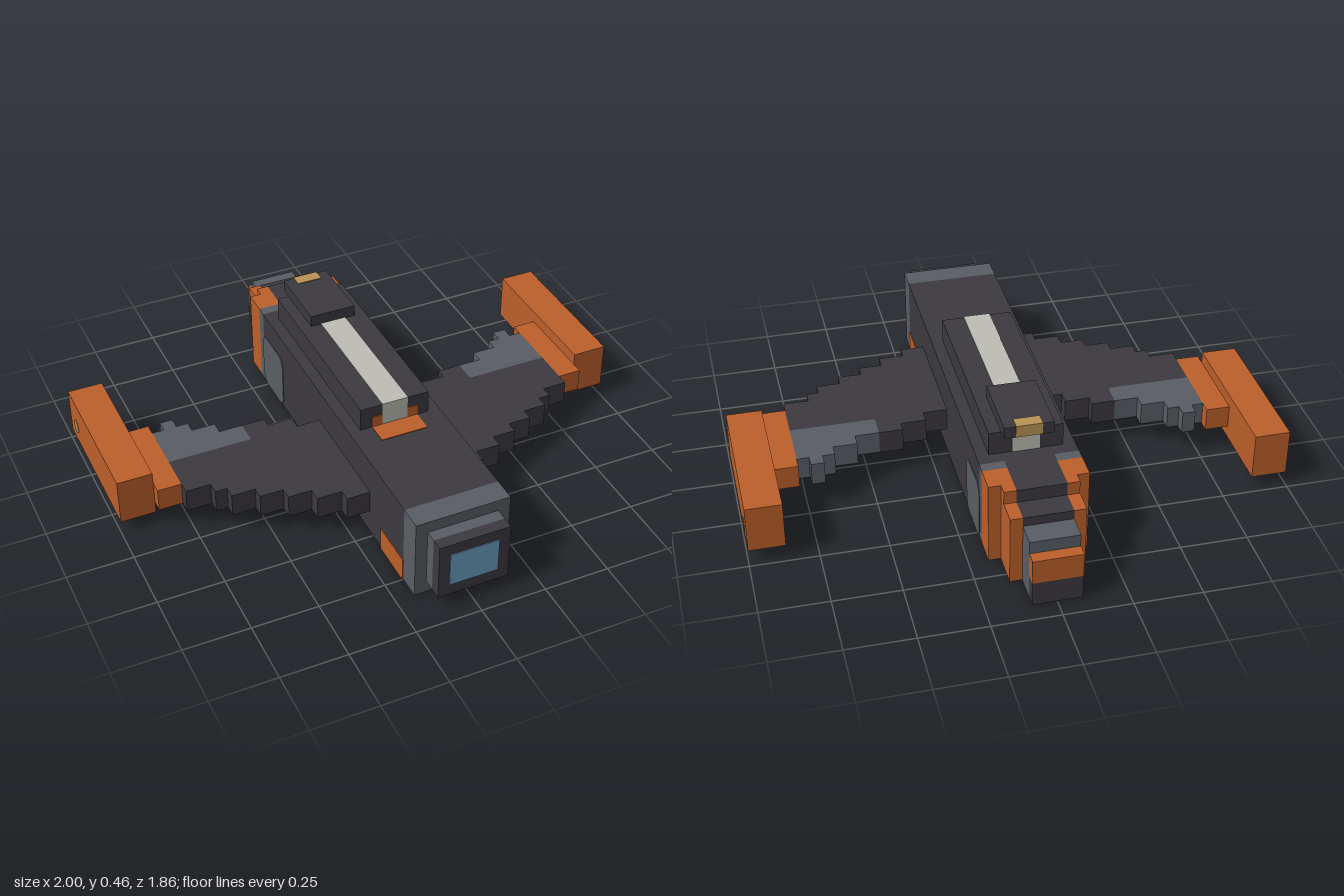
import * as THREE from 'three';

const mat = (name, color) => {
  const m = new THREE.MeshStandardMaterial({ color });
  m.name = name;
  return m;
};

export function createModel() {
  const dark = mat('charcoal', 0x3c3a40);
  const grey = mat('steel grey', 0x5a5e64);
  const orange = mat('burnt orange', 0xbd5f2b);
  const pale = mat('pale grey', 0xbebeb6);
  const gold = mat('gold', 0xbb9356);
  const blue = mat('window blue', 0x6c9fc2);

  const model = new THREE.Group();
  model.name = 'spacecraft';
  const T = 0.003; // how far painted plates stand out

  // Box from its min and max on each axis
  function box(name, m, x0, x1, y0, y1, z0, z1, parent = model) {
    const mesh = new THREE.Mesh(new THREE.BoxGeometry(x1 - x0, y1 - y0, z1 - z0), m);
    mesh.position.set((x0 + x1) / 2, (y0 + y1) / 2, (z0 + z1) / 2);
    mesh.name = name;
    parent.add(mesh);
    return mesh;
  }
  // Box centred on x = 0
  const mid = (name, m, w, y0, y1, z0, z1) => box(name, m, -w, w, y0, y1, z0, z1);
  // Pair of boxes mirrored across x = 0
  function pair(name, m, x0, x1, y0, y1, z0, z1) {
    box(name + 'Left', m, x0, x1, y0, y1, z0, z1);
    box(name + 'Right', m, -x1, -x0, y0, y1, z0, z1);
  }

  // Thin plate with rounded corners, lying in its local xy plane
  function roundPlate(name, w, h, r) {
    const s = new THREE.Shape();
    s.absarc(w / 2 - r, h / 2 - r, r, 0, Math.PI / 2);
    s.absarc(-w / 2 + r, h / 2 - r, r, Math.PI / 2, Math.PI);
    s.absarc(-w / 2 + r, -h / 2 + r, r, Math.PI, Math.PI * 1.5);
    s.absarc(w / 2 - r, -h / 2 + r, r, Math.PI * 1.5, Math.PI * 2);
    const mesh = new THREE.Mesh(
      new THREE.ExtrudeGeometry(s, { depth: T, bevelEnabled: false, curveSegments: 4 }), grey);
    mesh.name = name;
    model.add(mesh);
    return mesh;
  }

  // Fuselage
  mid('fuselage', dark, 0.18, 0, 0.32, -0.53, 0.75);
  mid('frontCollar', grey, 0.18, 0, 0.32, 0.75, 0.84);
  mid('noseBase', grey, 0.135, 0.05, 0.275, 0.84, 0.885);
  mid('noseFrame', dark, 0.135, 0.05, 0.275, 0.885, 0.93);
  mid('noseWindow', blue, 0.093, 0.095, 0.232, 0.926, 0.93 + T);

  // Painted panels on the fuselage
  pair('frontSidePanel', orange, 0.09, 0.18 + T, -T, 0.09, 0.57, 0.75);
  mid('frontBellyPanel', grey, 0.09, -T, 0.01, 0.57, 0.75);
  const belly = roundPlate('bellyPanel', 0.22, 0.24, 0.06);
  belly.rotation.x = Math.PI / 2;
  belly.position.set(0, 0, 0.2);
  for (const s of [1, -1]) {
    const p = roundPlate('rearSidePanel', 0.2, 0.225, 0.04);
    p.rotation.y = s * Math.PI / 2;
    p.position.set(s * 0.18, 0.112, -0.435);
  }

  // Spine and roof hatch
  mid('spine', dark, 0.135, 0.32, 0.41, -0.48, 0.295);
  mid('spineStrip', pale, 0.05, 0.4, 0.41 + T, -0.26, 0.295 + T);
  mid('spineStripFront', pale, 0.05, 0.32, 0.41, 0.29, 0.295 + T);
  mid('spineStripRear', pale, 0.05, 0.32, 0.41, -0.48 - T, -0.475);
  pair('spineFrontCorner', orange, 0.05, 0.09, 0.32, 0.365, 0.29, 0.295 + T);
  mid('spineFootPanel', orange, 0.09, 0.316, 0.32 + T, 0.295, 0.38);
  mid('roofHatch', dark, 0.09, 0.41, 0.455, -0.525, -0.255);
  mid('hatchLight', gold, 0.048, 0.412, 0.455 + T, -0.525 - T, -0.48);

  // Stepped tail: dark core between orange flanks
  mid('tailCoreUpper', dark, 0.09, 0, 0.32, -0.705, -0.53);
  mid('tailCoreLower', dark, 0.09, 0, 0.27, -0.795, -0.705);
  pair('tailBand', grey, 0.09, 0.18, 0, 0.32, -0.57, -0.53);
  pair('tailFlankFront', orange, 0.09, 0.18, 0, 0.32, -0.665, -0.57);
  pair('tailFlankMiddle', orange, 0.09, 0.135, 0, 0.32, -0.705, -0.665);
  pair('tailFlankRear', orange, 0.09, 0.135, 0, 0.27, -0.795, -0.705);
  mid('tailBlock', grey, 0.09, 0, 0.235, -0.885, -0.795);
  mid('tailTipUpper', orange, 0.09, 0.093, 0.187, -0.93, -0.885);
  mid('tailTipLower', dark, 0.09, 0, 0.093, -0.93, -0.885);

  // Wing strips: inner x, outer x, rear z, front z
  const strips = [
    [0.18, 0.27, 0.02, 0.475], [0.27, 0.365, -0.03, 0.43],
    [0.365, 0.455, -0.07, 0.38], [0.455, 0.545, -0.07, 0.335],
    [0.545, 0.635, -0.12, 0.29], [0.635, 0.68, -0.165, 0.245],
    [0.68, 0.73, -0.21, 0.2], [0.73, 0.775, -0.165, 0.2],
  ];
  for (const [x0, x1, zr, zf] of strips) {
    if (x0 < 0.45) {
      pair('wingStrip', dark, x0, x1, 0.095, 0.185, zr, zf);
    } else {
      pair('wingStrip', dark, x0, x1, 0.095, 0.185, 0.02, zf);
      pair('wingRearUnderside', dark, x0, x1, 0.095, 0.1, zr, 0.02);
      pair('wingRearPanel', grey, x0, x1, 0.1, 0.185, zr, 0.02);
    }
  }

  // Wingtip pylons and pods with a round lamp outside
  pair('pylon', orange, 0.775, 0.865, 0.095, 0.185, -0.21, 0.155);
  pair('pod', orange, 0.865, 0.998, 0.05, 0.23, -0.48, 0.11);
  for (const s of [1, -1]) {
    const lamp = new THREE.Mesh(new THREE.CylinderGeometry(0.027, 0.027, 0.004, 12), gold);
    lamp.rotation.z = Math.PI / 2;
    lamp.position.set(s * 0.998, 0.117, -0.406);
    lamp.name = 'podLamp';
    model.add(lamp);
  }

  return model;
}
